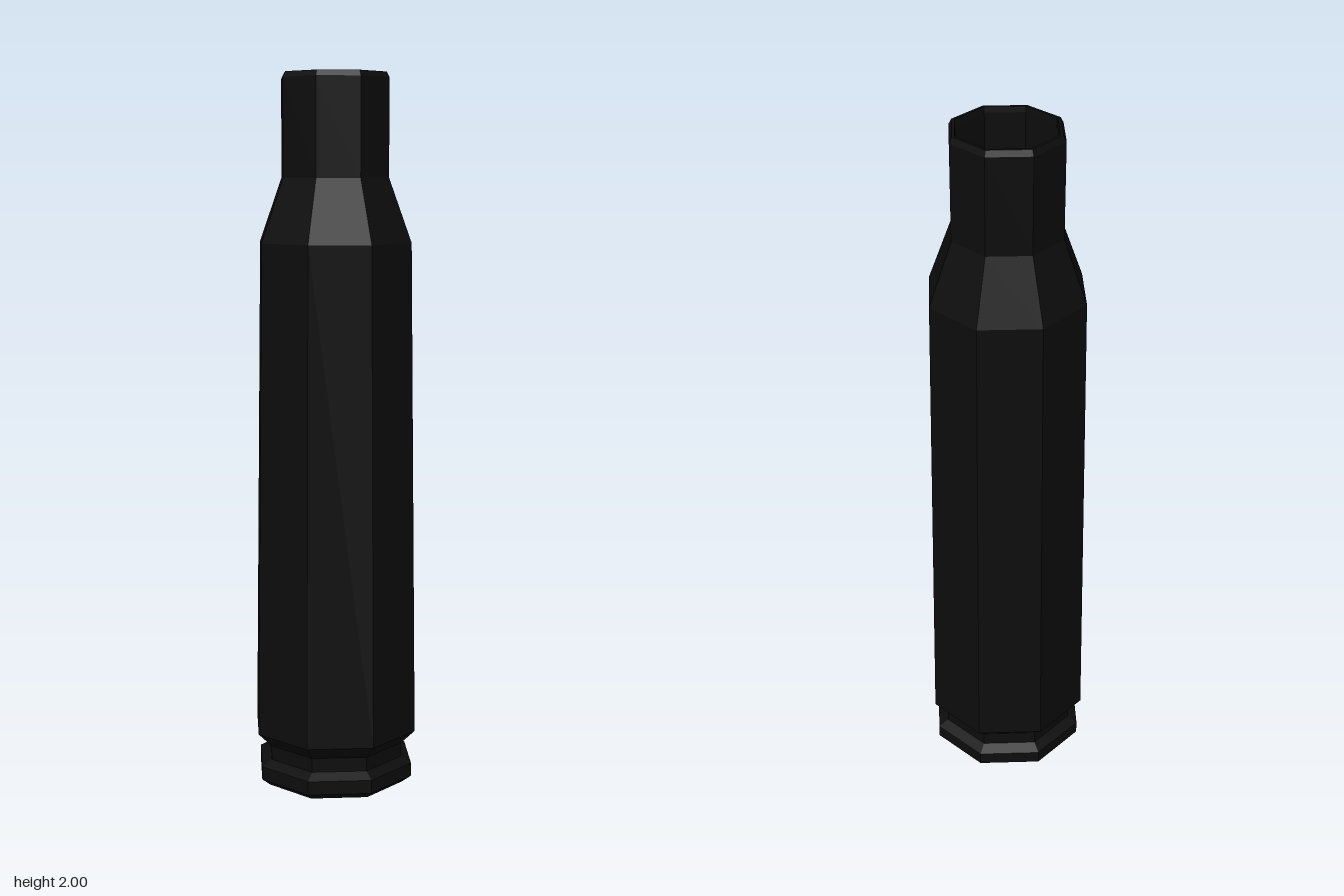
import * as THREE from 'three';

const SIDES = 8;

// Spin a [radius, height] profile, listed from the base upward, into a faceted part
function turned(name, profile, material) {
  const points = profile.map(([r, y]) => new THREE.Vector2(r, y));
  const mesh = new THREE.Mesh(new THREE.LatheGeometry(points, SIDES), material);
  mesh.name = name;
  return mesh;
}

export function createModel() {
  const group = new THREE.Group();
  group.name = 'cartridgeCase';
  const black = new THREE.MeshStandardMaterial({ color: 0x0d0d0d, flatShading: true });

  // Base rim with chamfered edges and the groove above it
  group.add(turned('baseRim', [
    [0, 0.01], [0.205, 0.01], [0.23, 0.03], [0.23, 0.068],
    [0.2, 0.085], [0.2, 0.125],
  ], black));

  // Tapered body, shoulder, neck, then over the lip and down the hollow bore
  group.add(turned('body', [
    [0.2, 0.125], [0.24, 0.165], [0.22, 1.545], [0.155, 1.72],
    [0.155, 1.985], [0.147, 2], [0.139, 2], [0.137, 1.985],
    [0.137, 0.2], [0, 0.2],
  ], black));

  // Small raised primer disc under the base
  group.add(turned('primer', [[0, 0], [0.1, 0], [0.11, 0.01]], black));

  return group;
}
